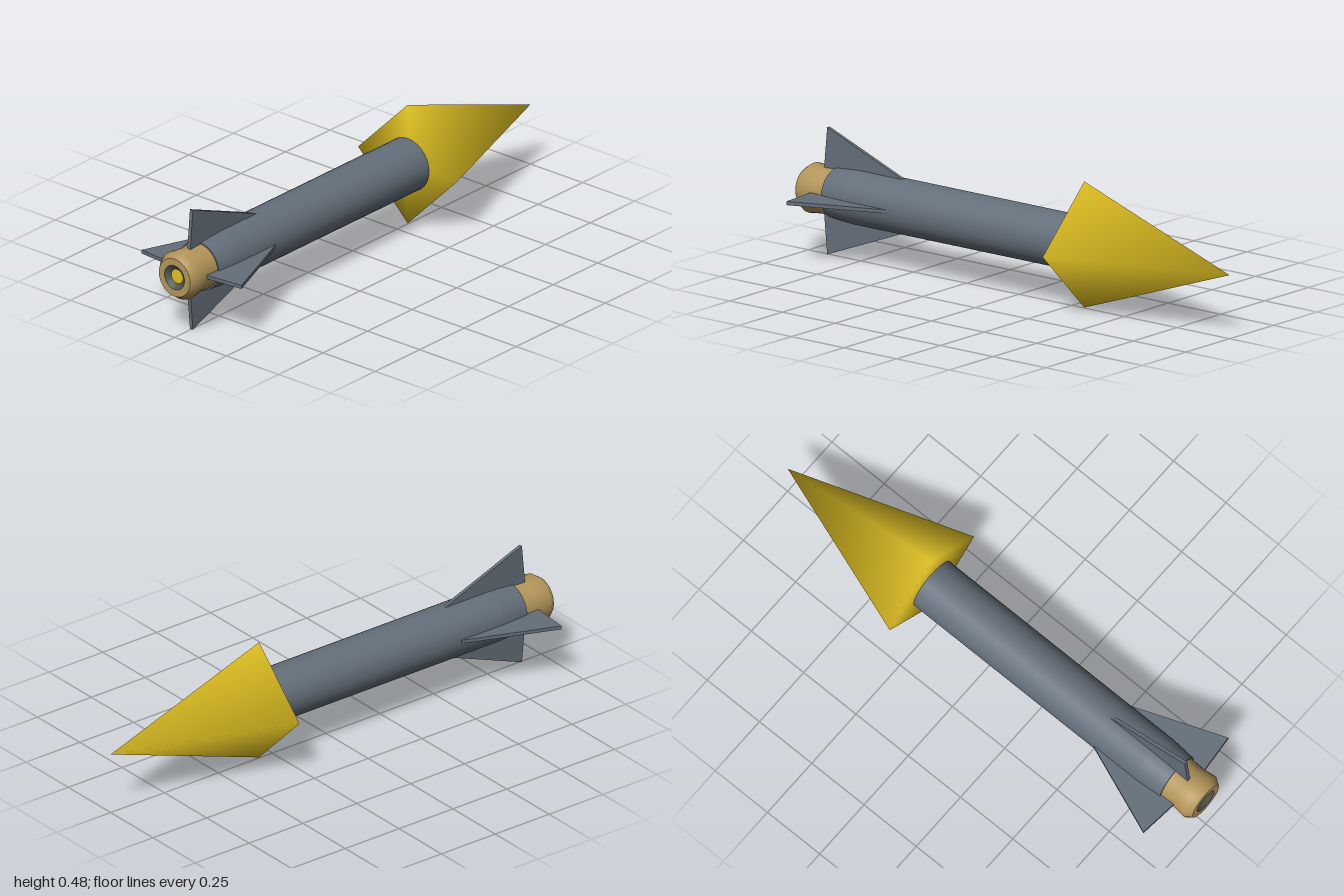
import * as THREE from 'three';
import { mergeVertices } from 'three/addons/utils/BufferGeometryUtils.js';

const mat = (name, color) => {
  const m = new THREE.MeshStandardMaterial({ color });
  m.name = name;
  return m;
};

export function createModel() {
  const steel = mat('steel grey', 0x646f7a);
  const yellow = mat('yellow', 0xe2c222);
  const brass = mat('brass', 0xb3955a);
  const dark = mat('dark grey', 0x4f5550);

  const rocket = new THREE.Group();
  rocket.name = 'rocket';
  rocket.position.y = 0.24;

  const add = (name, geometry, material) => {
    const mesh = new THREE.Mesh(geometry, material);
    mesh.name = name;
    rocket.add(mesh);
    return mesh;
  };

  // Turned part along x; profile is a list of [x, radius] from tail to nose
  const turned = (name, profile, material) => {
    const g = new THREE.LatheGeometry(profile.map(([x, r]) => new THREE.Vector2(r, x)), 28);
    return add(name, g.rotateZ(-Math.PI / 2), material);
  };

  // Tube body, tapering slightly at the tail
  turned('body', [[-0.75, 0.103], [0.312, 0.103]], steel);
  turned('tailTaper', [[-0.862, 0.095], [-0.8, 0.1], [-0.75, 0.103]], steel);
  turned('tailCap', [[-0.862, 0], [-0.862, 0.095]], steel);

  // Nozzle with a rounded lip and a recessed end
  turned('nozzle', [[-1, 0.075], [-0.973, 0.094], [-0.915, 0.087], [-0.86, 0.09]], brass);
  turned('nozzleRim', [[-1, 0.048], [-1, 0.075]], brass);
  turned('nozzleThroat', [[-0.985, 0.028], [-1, 0.048]], dark);
  turned('nozzleCore', [[-0.985, 0], [-0.985, 0.028]], yellow);

  // Four-sided head with normals shared across its edges
  let head = new THREE.ConeGeometry(0.238, 0.69, 4, 1);
  head.deleteAttribute('uv');
  head.deleteAttribute('normal');
  head = mergeVertices(head);
  // Drop the collapsed triangles left at the tip
  const old = head.index.array, faces = [];
  for (let i = 0; i < old.length; i += 3) {
    const [a, b, c] = [old[i], old[i + 1], old[i + 2]];
    if (a !== b && b !== c && a !== c) faces.push(a, b, c);
  }
  head.setIndex(faces);
  head.rotateZ(-Math.PI / 2);
  head.translate(0.655, 0, 0);
  head.computeVertexNormals();
  add('head', head, yellow);

  // Four swept fins around the tail
  const outline = new THREE.Shape([
    [-0.92, 0.08], [-0.55, 0.08], [-0.55, 0.103], [-0.905, 0.24],
  ].map(([x, y]) => new THREE.Vector2(x, y)));
  const finGeometry = new THREE.ExtrudeGeometry(outline, { depth: 0.014, bevelEnabled: false });
  finGeometry.translate(0, 0, -0.007);
  for (let i = 0; i < 4; i++) {
    add('fin' + (i + 1), finGeometry, steel).rotation.x = (i * Math.PI) / 2;
  }

  return rocket;
}
